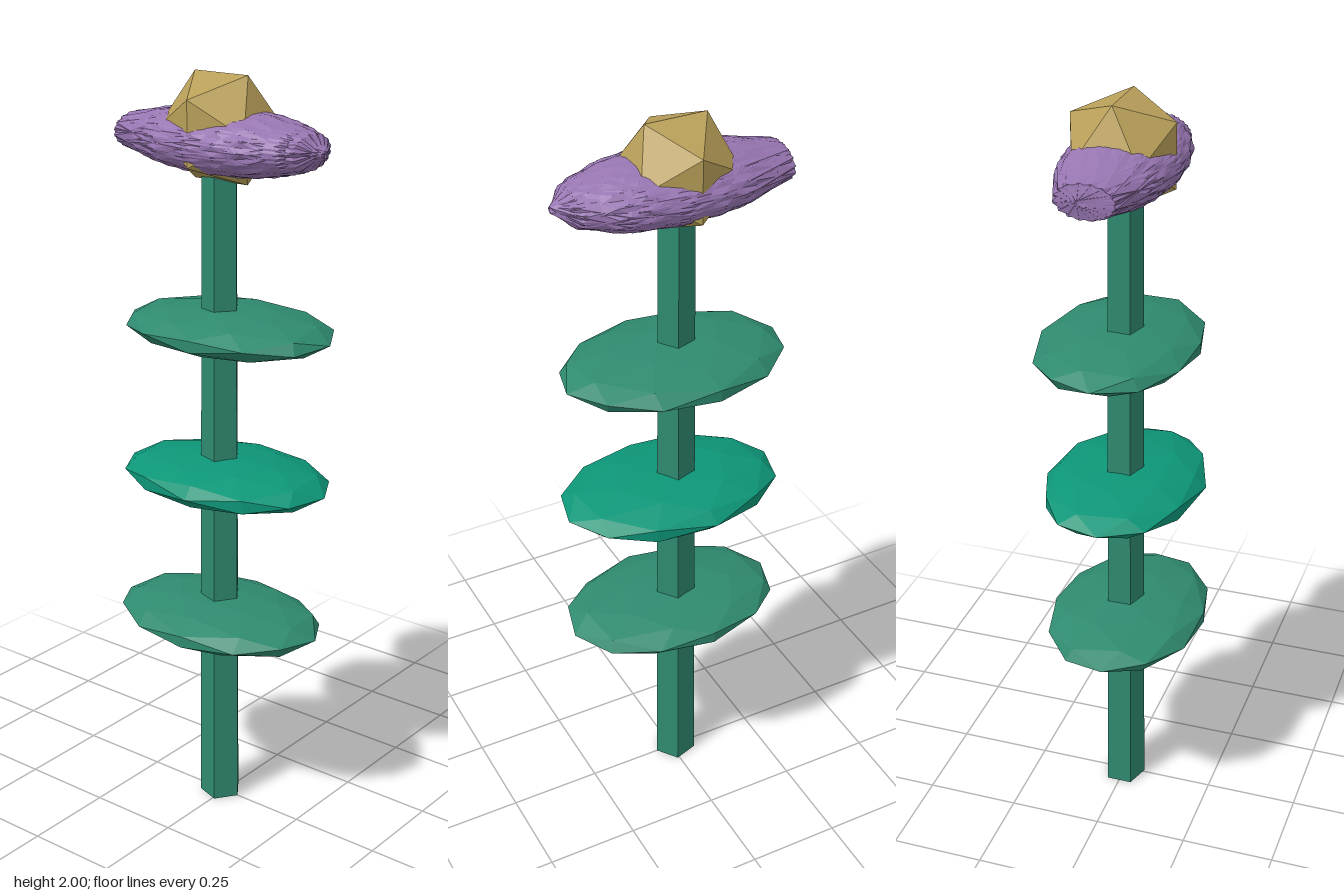
import * as THREE from 'three';

const paint = (color) => new THREE.MeshStandardMaterial({ color, flatShading: true });

export function createModel() {
  const model = new THREE.Group();
  const green = paint(0x2f8a70), brightGreen = paint(0x0d9678);
  const purple = paint(0x9876b2), gold = paint(0xb9a05a);
  const axisX = -0.012;

  const add = (name, geometry, material, x, y, z) => {
    const mesh = new THREE.Mesh(geometry, material);
    mesh.name = name;
    mesh.position.set(x, y, z);
    model.add(mesh);
    return mesh;
  };

  // Five-sided tapering stem, one corner towards +x
  const stem = new THREE.CylinderGeometry(0.048, 0.058, 1.82, 5);
  stem.rotateY(Math.PI / 2);
  add('stem', stem, green, axisX, 0.91, 0);

  // Three flattened leaf discs, each turned and shifted a little
  [[-0.005, 0.014], [0.005, 0], [0.003, -0.014]].forEach(([x, z], i) => {
    const leaf = new THREE.IcosahedronGeometry(1, 1);
    leaf.rotateX(0.28 * (i - 1));
    leaf.rotateY(0.1);
    leaf.scale(0.303, 0.056, 0.212);
    add('leaf' + (i + 1), leaf, i === 1 ? brightGreen : green, x, 0.555 + 0.4 * i, z);
  });

  // Spiky blossom: overlapping faceted petals turned about the long axis
  const blossom = new THREE.Group();
  blossom.name = 'blossom';
  blossom.position.set(0, 1.835, 0);
  const count = 8;
  for (let i = 0; i < count; i++) {
    const petal = new THREE.IcosahedronGeometry(1, 1);
    petal.rotateZ(0.1);
    petal.rotateX((i * Math.PI) / count);
    // Blunt the -x end
    const p = petal.attributes.position;
    for (let v = 0; v < p.count; v++) {
      if (p.getX(v) < -0.78) p.setX(v, -0.96 + 0.2 * (p.getX(v) + 0.9));
    }
    petal.scale(0.312, 0.085, 0.147);
    petal.computeVertexNormals();
    const mesh = new THREE.Mesh(petal, purple);
    mesh.name = 'petal' + (i + 1);
    blossom.add(mesh);
  }
  model.add(blossom);

  // Faceted flower centre
  add('flowerCentre', new THREE.IcosahedronGeometry(0.157, 0), gold, axisX, 1.866, -0.002);

  return model;
}
